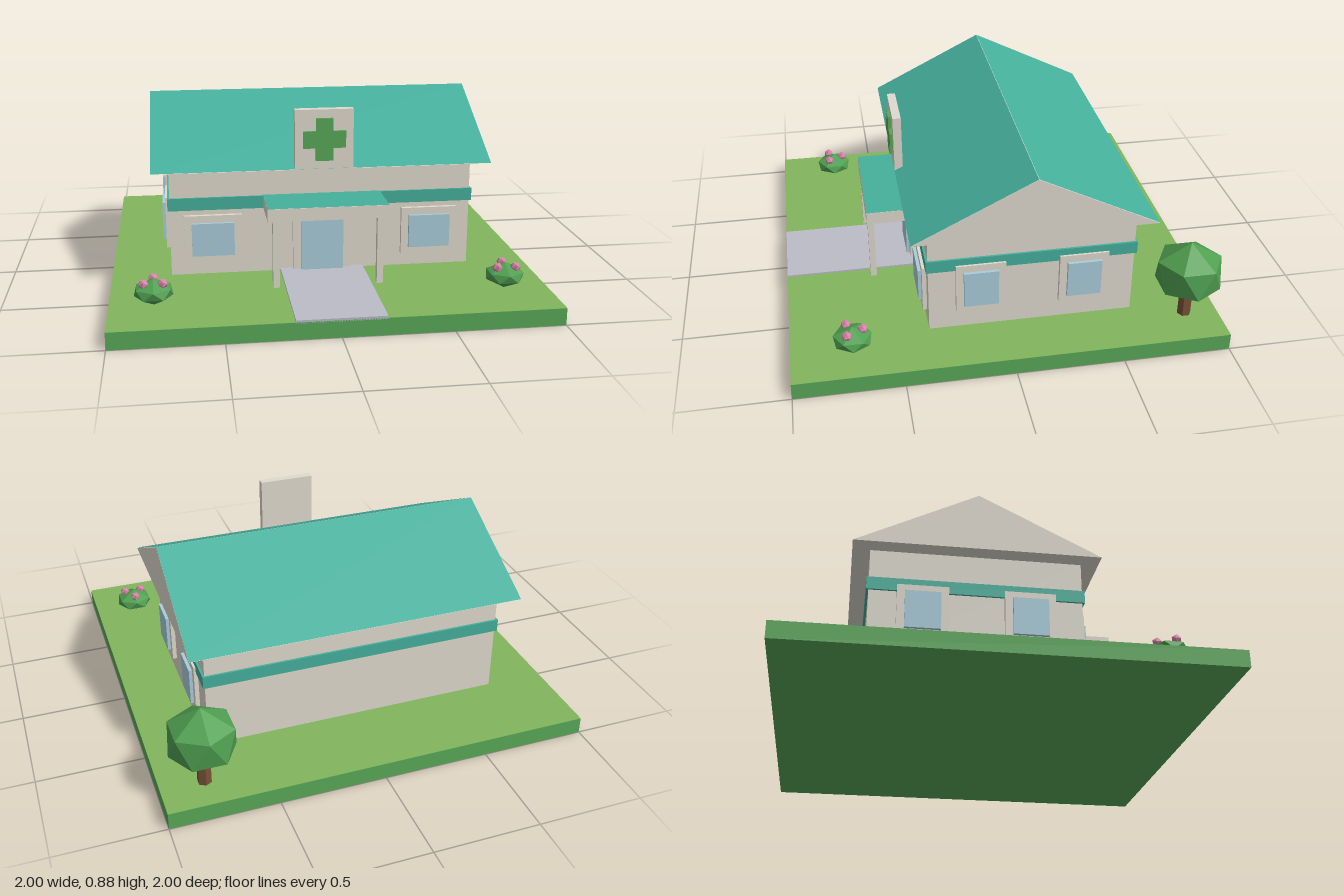
import * as THREE from 'three';

const mat = (color, flatShading = false) => new THREE.MeshStandardMaterial({ color, flatShading });

export function createModel() {
  const model = new THREE.Group();
  const wall = mat(0xdfdace), teal = mat(0x45b09c), glass = mat(0xa9cddb), green = mat(0x58a858);
  const grass = mat(0x82b55c), paving = mat(0xbcbcc8), bark = mat(0x7a5238, true);
  const leaf = mat(0x4f9f50, true), pink = mat(0xd583a5, true);

  const add = (name, geometry, material, parent = model) => {
    const mesh = new THREE.Mesh(geometry, material);
    mesh.name = name;
    parent.add(mesh);
    return mesh;
  };
  // Box given by its lower and upper limits on each axis
  const box = (name, material, [x0, x1], [y0, y1], [z0, z1], parent) => {
    const mesh = add(name, new THREE.BoxGeometry(x1 - x0, y1 - y0, z1 - z0), material, parent);
    mesh.position.set((x0 + x1) / 2, (y0 + y1) / 2, (z0 + z1) / 2);
    return mesh;
  };
  // Horizontal or tilted sheet facing up
  const sheet = (name, material, w, d, x, y, z, tilt = 0) => {
    const mesh = add(name, new THREE.PlaneGeometry(w, d), material);
    mesh.rotation.x = -Math.PI / 2 + tilt;
    mesh.position.set(x, y, z);
    return mesh;
  };

  // Ground and path
  box('ground', green, [-1, 1], [0, 0.08], [-1, 1]);
  sheet('lawn', grass, 2, 2, 0, 0.081, 0);
  box('path', paving, [-0.2, 0.2], [0.075, 0.09], [0.36, 1]);

  // Main building and the coloured band around it
  box('walls', wall, [-0.72, 0.72], [0.08, 0.605], [-0.6, 0.36]);
  box('band', teal, [-0.73, 0.73], [0.4, 0.46], [-0.61, 0.37]);

  // Gabled roof: wall-coloured prism covered by two sloping sheets
  const gable = new THREE.Shape([[-0.56, 0.6], [0.56, 0.6], [0, 0.88]].map(p => new THREE.Vector2(...p)));
  const prism = add('gables', new THREE.ExtrudeGeometry(gable, { depth: 1.6, bevelEnabled: false }), wall);
  prism.rotation.y = Math.PI / 2;
  prism.position.set(-0.8, 0, -0.12);
  const pitch = Math.atan2(0.28, 0.56), slope = Math.hypot(0.28, 0.56);
  for (const s of [-1, 1]) {
    sheet('roofSlope', teal, 1.6, slope, 0, 0.7418, -0.12 + s * 0.281, s * pitch);
  }

  // Entrance: door, canopy and posts
  box('doorFrame', wall, [-0.14, 0.14], [0.08, 0.4], [0.35, 0.38]);
  box('door', glass, [-0.1, 0.1], [0.085, 0.38], [0.37, 0.395]);
  box('canopy', wall, [-0.28, 0.28], [0.4, 0.461], [0.35, 0.597]);
  sheet('canopyTop', teal, 0.56, 0.237, 0, 0.462, 0.4785);
  for (const s of [-1, 1]) {
    box('post', wall, [s * 0.242 - 0.015, s * 0.242 + 0.015], [0.08, 0.4], [0.562, 0.592]);
  }

  // Windows, built facing +z with the wall at z = 0
  const addWindow = (w, h, gw, gh, x, y, z, turn) => {
    const group = new THREE.Group();
    group.name = 'window';
    box('windowFrame', wall, [-w / 2, w / 2], [-h / 2, h / 2], [-0.01, 0.02], group);
    box('windowPane', glass, [-gw / 2, gw / 2], [-gh / 2, gh / 2], [0.01, 0.035], group);
    group.position.set(x, y, z);
    group.rotation.y = turn;
    model.add(group);
  };
  for (const s of [-1, 1]) {
    addWindow(0.27, 0.23, 0.2, 0.16, s * 0.52, 0.26, 0.36, 0);
    for (const z of [0.12, -0.36]) {
      addWindow(0.23, 0.25, 0.16, 0.18, s * 0.72, 0.302, z, s * Math.PI / 2);
    }
  }

  // Sign with a raised cross
  box('signBoard', wall, [-0.137, 0.137], [0.6, 0.882], [0.4, 0.44]);
  const a = 0.04, b = 0.1;
  const cross = new THREE.Shape([
    [-a, -b], [a, -b], [a, -a], [b, -a], [b, a], [a, a],
    [a, b], [-a, b], [-a, a], [-b, a], [-b, -a], [-a, -a],
  ].map(p => new THREE.Vector2(...p)));
  add('signCross', new THREE.ExtrudeGeometry(cross, { depth: 0.02, bevelEnabled: false }), green)
    .position.set(0, 0.742, 0.434);

  // Faceted foliage: two staggered hexagon rings between two points
  const foliage = (r, bottom, low, high, top) => {
    const ring = (y, offset, i) => {
      const t = (i + offset) * Math.PI / 3;
      return [r * Math.sin(t), y, r * Math.cos(t)];
    };
    const pos = [];
    for (let i = 0; i < 6; i++) {
      const u0 = ring(high, 0, i), u1 = ring(high, 0, i + 1);
      const l0 = ring(low, 0.5, i), l1 = ring(low, 0.5, i + 1);
      pos.push([0, top, 0], u0, u1, u0, l0, u1, u1, l0, l1, l0, [0, bottom, 0], l1);
    }
    const g = new THREE.BufferGeometry();
    g.setAttribute('position', new THREE.Float32BufferAttribute(pos.flat(), 3));
    g.computeVertexNormals();
    return g;
  };

  // Tree at the back corner
  const tree = new THREE.Group();
  tree.name = 'tree';
  tree.position.set(0.8, 0.08, -0.842);
  add('trunk', new THREE.CylinderGeometry(0.033, 0.033, 0.13, 6), bark, tree).position.y = 0.065;
  add('treeCrown', foliage(0.152, 0.08, 0.175, 0.305, 0.395), leaf, tree);
  model.add(tree);

  // Flowering bushes on both sides of the path
  for (const s of [-1, 1]) {
    const bush = new THREE.Group();
    bush.name = 'bush';
    bush.position.set(s * 0.8, 0.08, 0.717);
    add('bushLeaves', foliage(0.087, 0, 0.045, 0.082, 0.122), leaf, bush);
    for (let i = 0; i < 3; i++) {
      const t = Math.PI + i * Math.PI * 2 / 3;
      add('flower', new THREE.IcosahedronGeometry(0.024, 0), pink, bush)
        .position.set(0.049 * Math.sin(t), 0.107, 0.049 * Math.cos(t));
    }
    model.add(bush);
  }
  return model;
}
